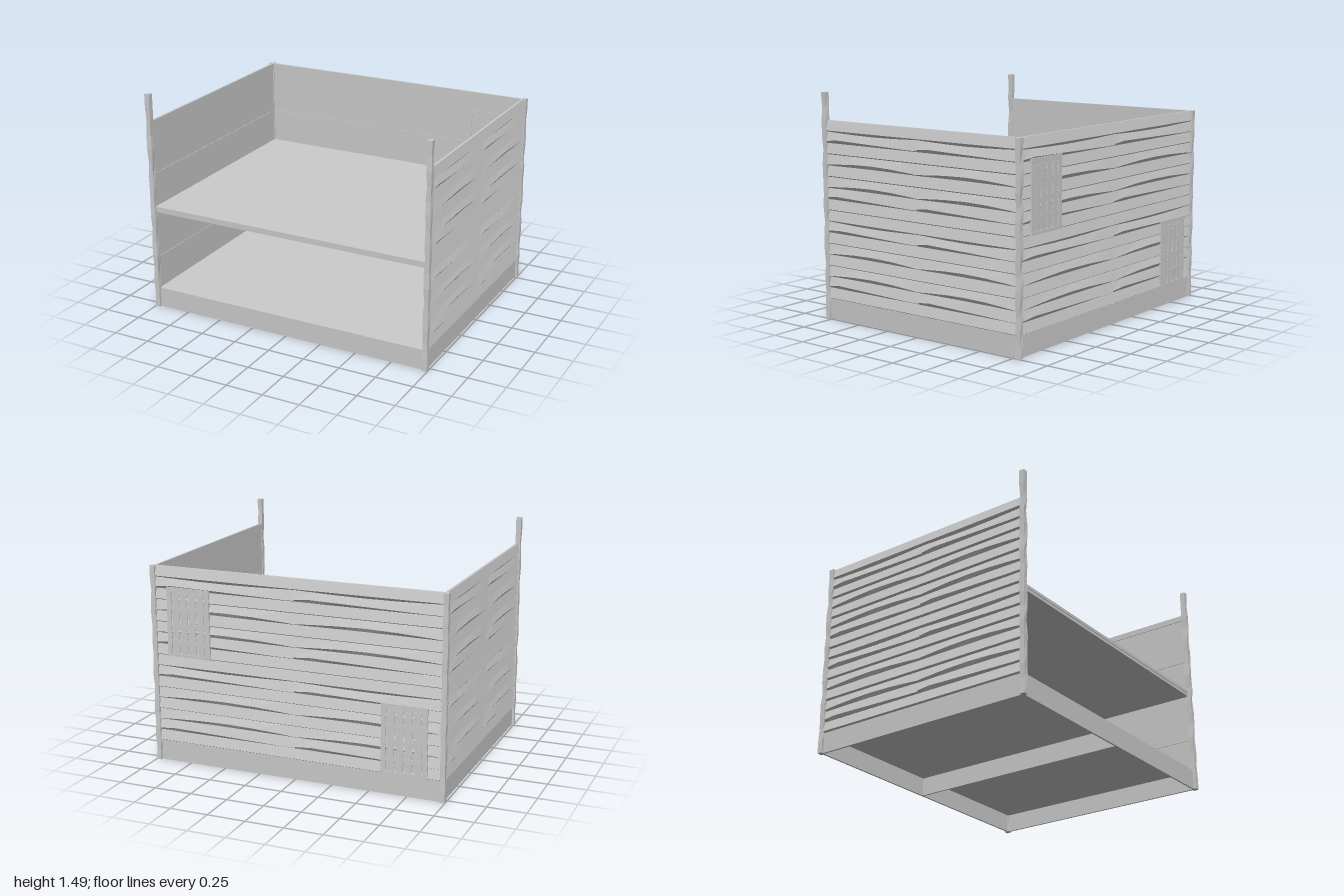
import * as THREE from 'three';

const material = new THREE.MeshStandardMaterial({ color: 0xcccccc, flatShading: true });
const BASE = 0.135, TOP = 1.31, ROWS = 16, PITCH = (TOP - BASE) / ROWS;

function box(parent, name, [x0, x1], [y0, y1], [z0, z1]) {
  const mesh = new THREE.Mesh(new THREE.BoxGeometry(x1 - x0, y1 - y0, z1 - z0), material);
  mesh.position.set((x0 + x1) / 2, (y0 + y1) / 2, (z0 + z1) / 2);
  mesh.name = name;
  parent.add(mesh);
  return mesh;
}

// Wear of each board's lower edge: [offset of the bottom line, height of the bevel under the lip]
const wear = {
  flat: () => [0, 0.008],
  bump: f => [0.003 * Math.sin(Math.PI * f), 0.007 + 0.017 * Math.sin(Math.PI * f)],
  early: f => [0, 0.007 + 0.016 * (f < 0.12 ? 0.4 + f * 5 : Math.max(0, (0.9 - f) / 0.78))],
  sag: f => [-0.01 * Math.sin(Math.PI * f), 0.008 + 0.01 * Math.sin(Math.PI * f)],
};
const pattern = ['flat', 'early', 'bump', 'flat', 'bump', 'flat', 'early', 'sag'];

// Overlapping worn boards, facing +z, the pattern repeated twice along the length
function sidingGeometry(length, inner, outer) {
  const stations = [];
  for (let tile = 0; tile < 2; tile++) {
    for (const f of [0, 0.12, 0.3, 0.5, 0.7, 0.9, 1]) stations.push([tile, f]);
  }
  const section = ([tile, f]) => {
    const x = ((tile + f) / 2 - 0.5) * length, points = [];
    for (let row = 0; row < ROWS; row++) {
      const [low, bevel] = wear[pattern[row % 8]](f);
      const y = BASE + row * PITCH + low;
      points.push([x, y, inner], [x, y + bevel, outer]);
    }
    points.push([x, TOP, inner]);
    return points;
  };
  const sections = stations.map(section), positions = [];
  for (let i = 0; i + 1 < sections.length; i++) {
    const a = sections[i], b = sections[i + 1];
    if (a[0][0] === b[0][0]) continue;
    for (let j = 0; j + 1 < a.length; j++) {
      positions.push(...a[j], ...b[j], ...b[j + 1], ...a[j], ...b[j + 1], ...a[j + 1]);
    }
  }
  const geometry = new THREE.BufferGeometry();
  geometry.setAttribute('position', new THREE.Float32BufferAttribute(positions, 3));
  geometry.computeVertexNormals();
  return geometry;
}

// One wall facing +z, `reach` from the centre, to be turned into place
function makeWall(name, length, reach) {
  const wall = new THREE.Group();
  wall.name = name;
  const span = [-length / 2, length / 2];
  const face = reach - 0.019, back = reach - 0.029;
  box(wall, 'wallPanel', span, [BASE, TOP], [back, face]);
  box(wall, 'skirt', span, [0, BASE], [back, reach - 0.016]);
  box(wall, 'topRail', span, [1.27, TOP], [back - 0.005, face - 0.001]);
  for (const y of [0.36, 0.95]) box(wall, 'insideRail', span, [y - 0.008, y], [back - 0.004, back]);
  const siding = new THREE.Mesh(sidingGeometry(length, face, reach - 0.004), material);
  siding.name = 'siding';
  wall.add(siding);
  return wall;
}

// Corner post with shallow chips along its outer edges
function makePost(name, height, sx, sz, seed) {
  const geometry = new THREE.BoxGeometry(0.035, height, 0.035, 1, 16, 1);
  const p = geometry.attributes.position;
  for (let i = 0; i < p.count; i++) {
    const level = Math.round((p.getY(i) / height + 0.5) * 16);
    if (level === 0 || level === 16) continue;
    const chip = 0.005 * Math.max(0, Math.sin(level * 2.4 + seed + (p.getX(i) > 0 ? 2 : 0) + (p.getZ(i) > 0 ? 1 : 0)));
    p.setX(i, p.getX(i) - Math.sign(p.getX(i)) * chip);
    p.setZ(i, p.getZ(i) - Math.sign(p.getZ(i)) * chip);
  }
  geometry.computeVertexNormals();
  const mesh = new THREE.Mesh(geometry, material);
  mesh.position.set(sx * 0.9825, height / 2, sz * 0.7825);
  mesh.name = name;
  return mesh;
}

// Planked shutter showing on both faces of the back wall
function makeShutter(x, y) {
  const shutter = new THREE.Group();
  shutter.name = 'shutter';
  const outer = -0.8, inner = -0.766, depth = [outer, inner];
  for (const s of [-1, 1]) {
    const post = box(shutter, 'frameSide', [s * 0.135 - 0.015, s * 0.135 + 0.015], [0, 0.445], depth);
    post.rotation.z = s * 0.008;
  }
  box(shutter, 'frameTop', [-0.152, 0.152], [0.425, 0.457], [outer, inner]);
  box(shutter, 'frameBottom', [-0.12, 0.12], [0, 0.02], [outer, inner - 0.002]);
  box(shutter, 'backing', [-0.12, 0.12], [0, 0.425], [outer + 0.009, inner - 0.009]);
  for (let i = 0; i < 4; i++) {
    const cx = -0.0885 + i * 0.059;
    const plank = box(shutter, 'plank', [cx - 0.022, cx + 0.022], [0.02, 0.42 - (i % 2) * 0.008],
      [outer + 0.003, inner - 0.003]);
    plank.rotation.z = (i % 2 ? 1 : -1) * 0.006;
  }
  for (const h of [0.1, 0.21, 0.32]) {
    box(shutter, 'batten', [-0.12, 0.12], [h - 0.014, h + 0.014], [outer + 0.001, outer + 0.008]);
  }
  shutter.position.set(x, y, 0);
  return shutter;
}

export function createModel() {
  const model = new THREE.Group();
  model.name = 'openShed';

  // Three boarded walls
  const backWall = makeWall('backWall', 1.93, 0.8);
  backWall.rotation.y = Math.PI;
  const leftWall = makeWall('leftWall', 1.53, 1);
  leftWall.rotation.y = Math.PI / 2;
  const rightWall = makeWall('rightWall', 1.53, 1);
  rightWall.rotation.y = -Math.PI / 2;
  model.add(backWall, leftWall, rightWall);

  // Floors and what carries them
  box(model, 'frontSkirt', [-0.967, 0.967], [0, BASE], [0.77, 0.782]);
  box(model, 'groundFloor', [-0.971, 0.971], [BASE - 0.012, BASE], [-0.771, 0.781]);
  box(model, 'centreJoist', [-0.006, 0.006], [0, BASE - 0.012], [-0.772, 0.771]);
  box(model, 'upperFloor', [-0.971, 0.971], [0.7, 0.72], [-0.771, 0.782]);
  box(model, 'upperFloorUnderside', [-0.971, 0.971], [0.68, 0.7], [-0.771, 0.778]);

  // Corner posts, the front pair taller
  for (const s of [-1, 1]) {
    model.add(makePost('frontPost', 1.49, s, 1, s), makePost('backPost', TOP, s, -1, s + 3));
  }

  // Shutters on the two storeys
  model.add(makeShutter(-0.733, BASE), makeShutter(0.733, 0.722));
  return model;
}
